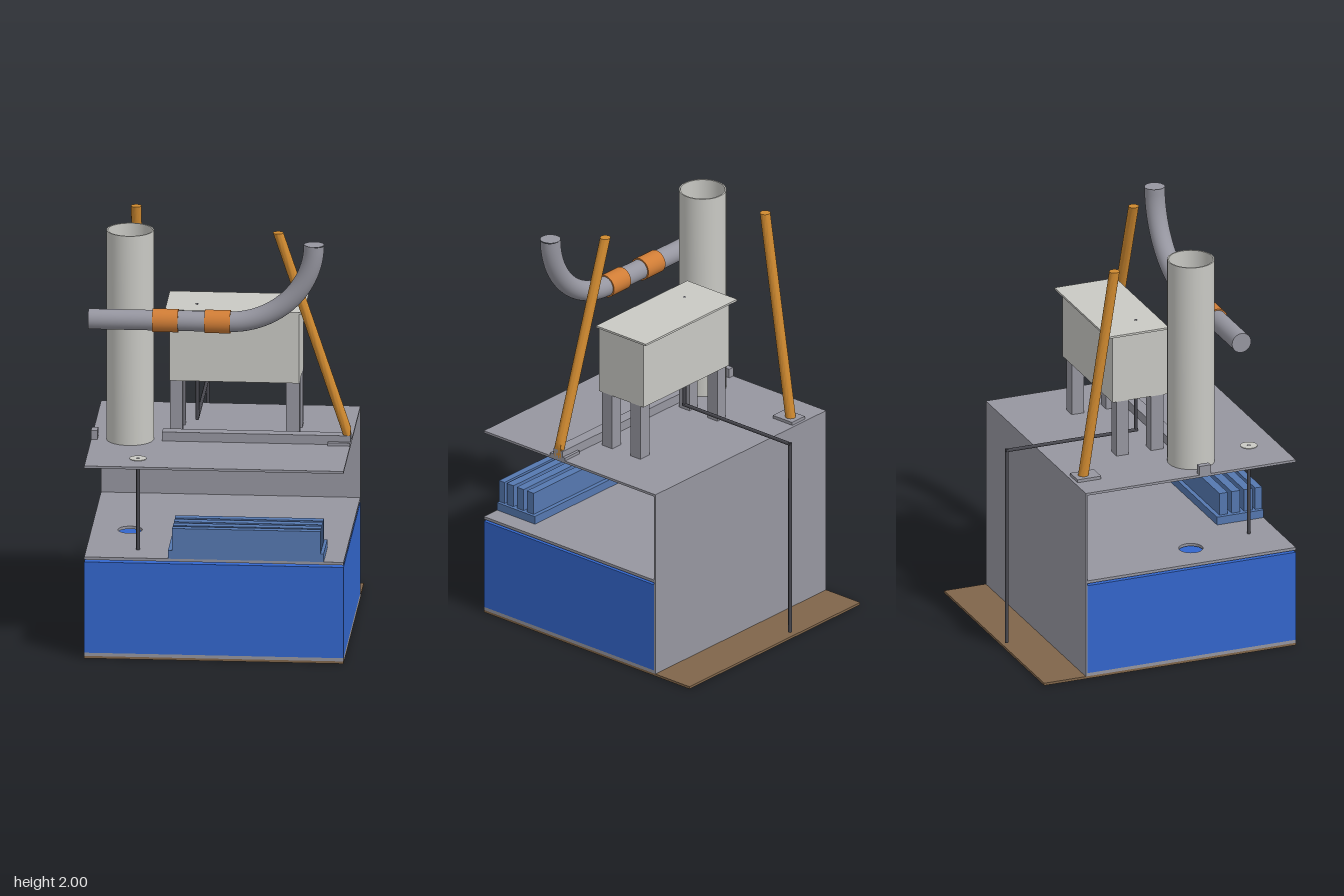
import * as THREE from 'three';
import { toCreasedNormals } from 'three/addons/utils/BufferGeometryUtils.js';

const paint = (name, color) => {
  const m = new THREE.MeshStandardMaterial({ color });
  m.name = name;
  return m;
};

export function createModel() {
  const model = new THREE.Group();
  const grey = paint('grey', 0x9696a0);
  const blue = paint('blue', 0x3366cc);
  const finBlue = paint('finBlue', 0x5578b0);
  const pale = paint('pale', 0xc9c9c4);
  const brown = paint('brown', 0x80654a);
  const dark = paint('dark', 0x48484f);
  const orange = paint('orange', 0xd08a30);
  const copper = paint('copper', 0xd07d36);

  const add = (name, geometry, material, parent = model) => {
    const mesh = new THREE.Mesh(geometry, material);
    mesh.name = name;
    parent.add(mesh);
    return mesh;
  };
  const group = (name) => {
    const g = new THREE.Group();
    g.name = name;
    model.add(g);
    return g;
  };
  // Box given by its limits on each axis
  const box = (name, [x0, x1], [y0, y1], [z0, z1], material, parent) => {
    const g = new THREE.BoxGeometry(x1 - x0, y1 - y0, z1 - z0);
    g.translate((x0 + x1) / 2, (y0 + y1) / 2, (z0 + z1) / 2);
    return add(name, g, material, parent);
  };
  // Upright cylinder between two heights
  const post = (name, x, z, y0, y1, rTop, rBottom, sides, material, parent) => {
    const g = new THREE.CylinderGeometry(rTop, rBottom, y1 - y0, sides);
    g.translate(x, (y0 + y1) / 2, z);
    return add(name, g, material, parent);
  };

  const W = [-0.62, 0.62];
  const deckTop = 0.958;

  // Ground, floor, tank and back wall
  box('ground', W, [0, 0.012], [-0.65, 0.65], brown);
  box('floorPlate', W, [0.012, 0.028], [-0.43, 0.65], grey);
  box('tank', W, [0.028, 0.48], [-0.425, 0.65], blue);
  box('backWall', W, [0.012, 0.946], [-0.435, -0.425], grey);

  // Middle deck with a round opening
  const deck = new THREE.Shape();
  deck.moveTo(-0.62, -0.65).lineTo(0.62, -0.65).lineTo(0.62, 0.425).lineTo(-0.62, 0.425).closePath();
  deck.holes.push(new THREE.Path().absarc(-0.435, -0.185, 0.058, 0, Math.PI * 2, true));
  const deckGeo = new THREE.ExtrudeGeometry(deck, { depth: 0.014, bevelEnabled: false, curveSegments: 32 });
  deckGeo.rotateX(-Math.PI / 2).translate(0, 0.491, 0);
  add('middleDeck', deckGeo, grey);
  box('topDeck', W, [0.946, deckTop], [-0.435, 0.65], grey);

  // Finned block on the middle deck
  const fins = group('finnedBlock');
  box('finBase', [-0.22, 0.525], [0.505, 0.545], [0.41, 0.65], finBlue, fins);
  for (const z of [[0.615, 0.65], [0.558, 0.6], [0.494, 0.537], [0.431, 0.473]]) {
    box('fin', [-0.2, 0.51], [0.545, 0.656], z, finBlue, fins);
  }

  // Hanging probe with its collar in the top deck
  post('probeRod', -0.373, 0.51, 0.48, 0.91, 0.009, 0.009, 8, dark);
  post('probeCollar', -0.373, 0.51, 0.932, 0.961, 0.041, 0.036, 32, pale);
  post('probeHole', -0.373, 0.51, 0.958, 0.962, 0.008, 0.008, 8, dark);

  // Open chimney
  const chimney = new THREE.LatheGeometry([
    [0.113, deckTop], [0.113, 2], [0.106, 2], [0.106, deckTop],
  ].map(([r, y]) => new THREE.Vector2(r, y)), 48);
  chimney.translate(-0.435, 0, 0.185);
  add('chimney', toCreasedNormals(chimney, 0.6), pale);

  // Cabinet on four legs
  const cabinet = group('cabinet');
  box('cabinetBody', [-0.25, 0.37], [1.238, 1.58], [-0.142, 0.14], pale, cabinet);
  box('cabinetLid', [-0.272, 0.392], [1.58, 1.59], [-0.175, 0.14], pale, cabinet);
  for (const x of [[-0.25, -0.19], [0.305, 0.37]]) {
    for (const z of [[-0.122, -0.06], [0.056, 0.12]]) {
      box('cabinetLeg', x, [deckTop, 1.238], z, grey, cabinet);
    }
  }

  // Thin line from the cabinet, over the deck and down the back
  const line = group('drainLine');
  post('lineDrop', -0.125, 0.03, 1.022, 1.24, 0.009, 0.009, 8, dark, line);
  post('lidHole', -0.125, 0.03, 1.587, 1.591, 0.008, 0.008, 8, dark, line);
  post('lineFall', -0.125, -0.638, 0.03, 1.03, 0.009, 0.009, 8, dark, line);
  const run = new THREE.CylinderGeometry(0.009, 0.009, 0.682, 8);
  run.rotateX(Math.PI / 2).translate(-0.125, 1.022, -0.302);
  add('lineRun', run, dark, line);

  // Floor beam, broken at the chimney
  box('beam', [-0.28, 0.62], [deckTop, 1.003], [0.152, 0.211], grey);
  box('beamStub', [-0.62, -0.59], [deckTop, 1.003], [0.152, 0.211], grey);

  // Slanted struts with level ends, kept within the deck edge
  const strut = (name, [xa, ya, za], [xb, yb, zb]) => {
    const g = new THREE.CylinderGeometry(0.025, 0.025, 1, 24, 40);
    const p = g.attributes.position;
    for (let i = 0; i < p.count; i++) {
      const t = p.getY(i) + 0.5;
      const x = p.getX(i) + xa + (xb - xa) * t;
      p.setXYZ(i, Math.min(x, 0.62), ya + (yb - ya) * t, p.getZ(i) + za + (zb - za) * t);
    }
    add(name, toCreasedNormals(g, 0.6), orange);
  };
  strut('sideStrut', [0.622, 0.96, 0.184], [0.273, 2, 0.184]);
  strut('backStrut', [-0.435, 0.965, -0.372], [-0.435, 2, -0.21]);
  box('sideStrutPad', [0.513, 0.62], [deckTop, 0.973], [0.137, 0.232], grey);
  box('backStrutPad', [-0.482, -0.39], [deckTop, 0.973], [-0.42, -0.298], grey);

  // Swept pipe: straight run, then a quarter bend upward
  const pipeY = 1.607, pipeZ = 0.37, bendX = 0.05;
  const pipe = group('sweptPipe');
  const straight = new THREE.CylinderGeometry(0.049, 0.049, 0.67, 32);
  straight.rotateZ(Math.PI / 2).translate(-0.285, pipeY, pipeZ);
  add('pipeRun', straight, grey, pipe);
  const bend = [];
  for (let i = 0; i <= 12; i++) {
    const a = (i / 12) * Math.PI / 2;
    bend.push(new THREE.Vector3(bendX + 0.408 * Math.sin(a), 2 - (2 - pipeY) * Math.cos(a), pipeZ));
  }
  add('pipeBend', new THREE.TubeGeometry(new THREE.CatmullRomCurve3(bend), 40, 0.049, 32), grey, pipe);
  const cap = new THREE.CircleGeometry(0.049, 32);
  cap.rotateX(-Math.PI / 2).translate(bendX + 0.408, 2, pipeZ);
  add('pipeCap', cap, grey, pipe);
  for (const x of [-0.252, -0.002]) {
    const sleeve = new THREE.CylinderGeometry(0.056, 0.056, 0.123, 32);
    sleeve.rotateZ(Math.PI / 2).translate(x, pipeY, pipeZ);
    add('pipeSleeve', sleeve, copper, pipe);
  }

  return model;
}
